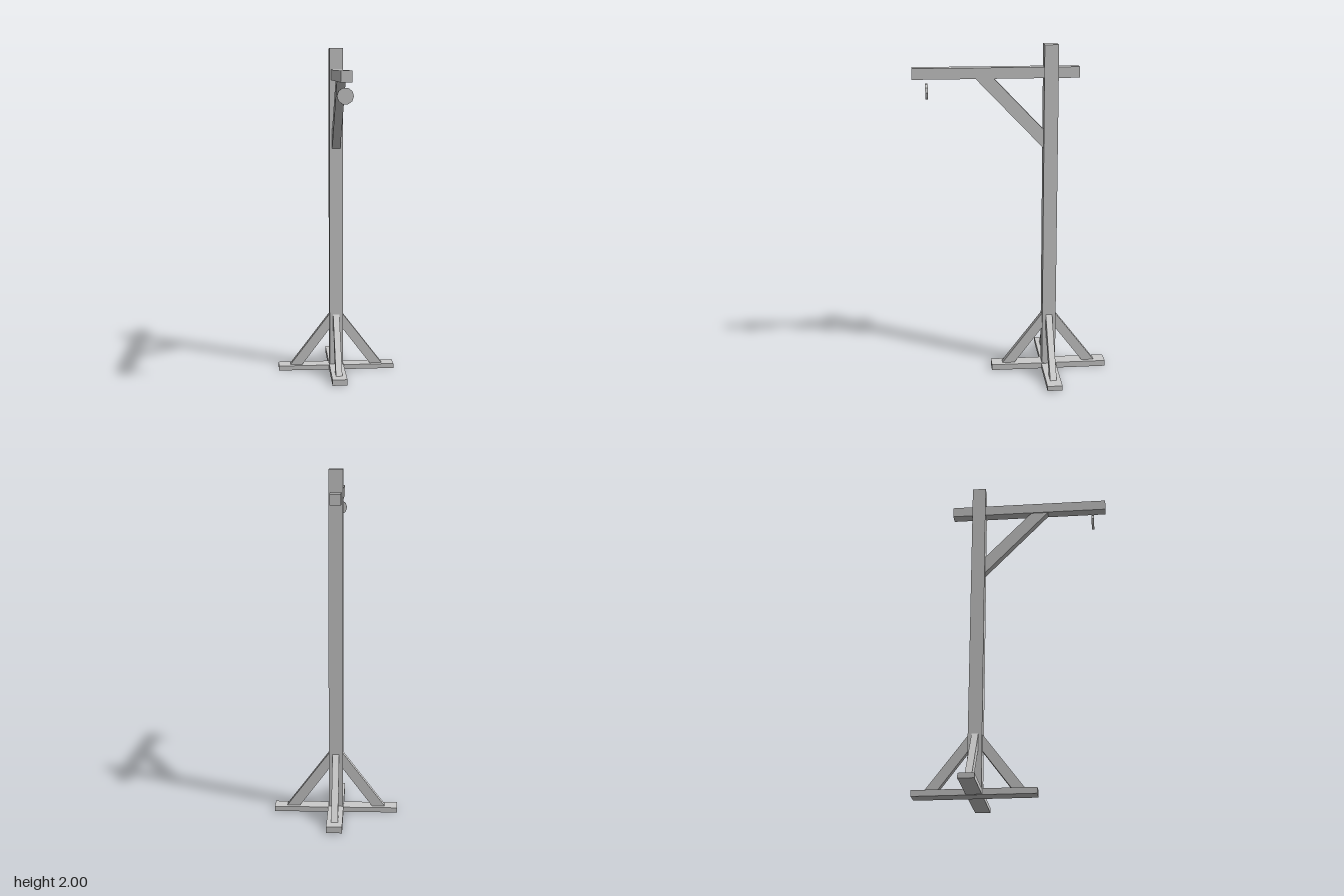
import * as THREE from 'three';

const material = new THREE.MeshStandardMaterial({ color: 0xcccccc, flatShading: true });
const POST_Z = -0.221;

function add(parent, name, geometry) {
  const mesh = new THREE.Mesh(geometry, material);
  mesh.name = name;
  parent.add(mesh);
  return mesh;
}

// Box given by its lower and upper corners
function beam(parent, name, [x0, y0, z0], [x1, y1, z1]) {
  const mesh = add(parent, name, new THREE.BoxGeometry(x1 - x0, y1 - y0, z1 - z0));
  mesh.position.set((x0 + x1) / 2, (y0 + y1) / 2, (z0 + z1) / 2);
}

// Diagonal strut: side outline (distance from post axis, height), extruded evenly about its plane
function strut(parent, name, outline, width, angle) {
  const shape = new THREE.Shape(outline.map(([x, y]) => new THREE.Vector2(x, y)));
  const geometry = new THREE.ExtrudeGeometry(shape, { depth: width, bevelEnabled: false });
  geometry.translate(0, 0, -width / 2);
  const mesh = add(parent, name, geometry);
  mesh.rotation.y = angle;
  mesh.position.z = POST_Z;
}

export function createModel() {
  const group = new THREE.Group();
  group.name = 'postWithArm';

  // Upright and crossed feet
  beam(group, 'post', [-0.041, 0.005, POST_Z - 0.041], [0.041, 2, POST_Z + 0.041]);
  beam(group, 'footLengthwise', [-0.045, 0, -0.575], [0.045, 0.036, 0.132]);
  beam(group, 'footCrosswise', [-0.362, 0.003, POST_Z - 0.045], [0.362, 0.032, POST_Z + 0.045]);

  // Four struts between feet and post
  const footOutline = [[0.215, 0.03], [0.29, 0.03], [0.04, 0.358], [0.04, 0.262]];
  ['Left', 'Back', 'Right', 'Front'].forEach((side, i) =>
    strut(group, `footStrut${side}`, footOutline, 0.039, i * Math.PI / 2));

  // Arm through the post and its brace
  beam(group, 'arm', [-0.031, 1.81, -0.385], [0.031, 1.873, 0.575]);
  const braceOutline = [[0.04, 1.397], [0.436, 1.811], [0.331, 1.811], [0.04, 1.507]];
  strut(group, 'armBrace', braceOutline, 0.05, -Math.PI / 2);

  // Small disc hanging under the tip of the arm
  const disc = add(group, 'disc',
    new THREE.CylinderGeometry(0.046, 0.046, 0.015, 10, 1, false, Math.PI / 2));
  disc.rotation.x = Math.PI / 2;
  disc.position.set(0, 1.737, 0.493);

  return group;
}
